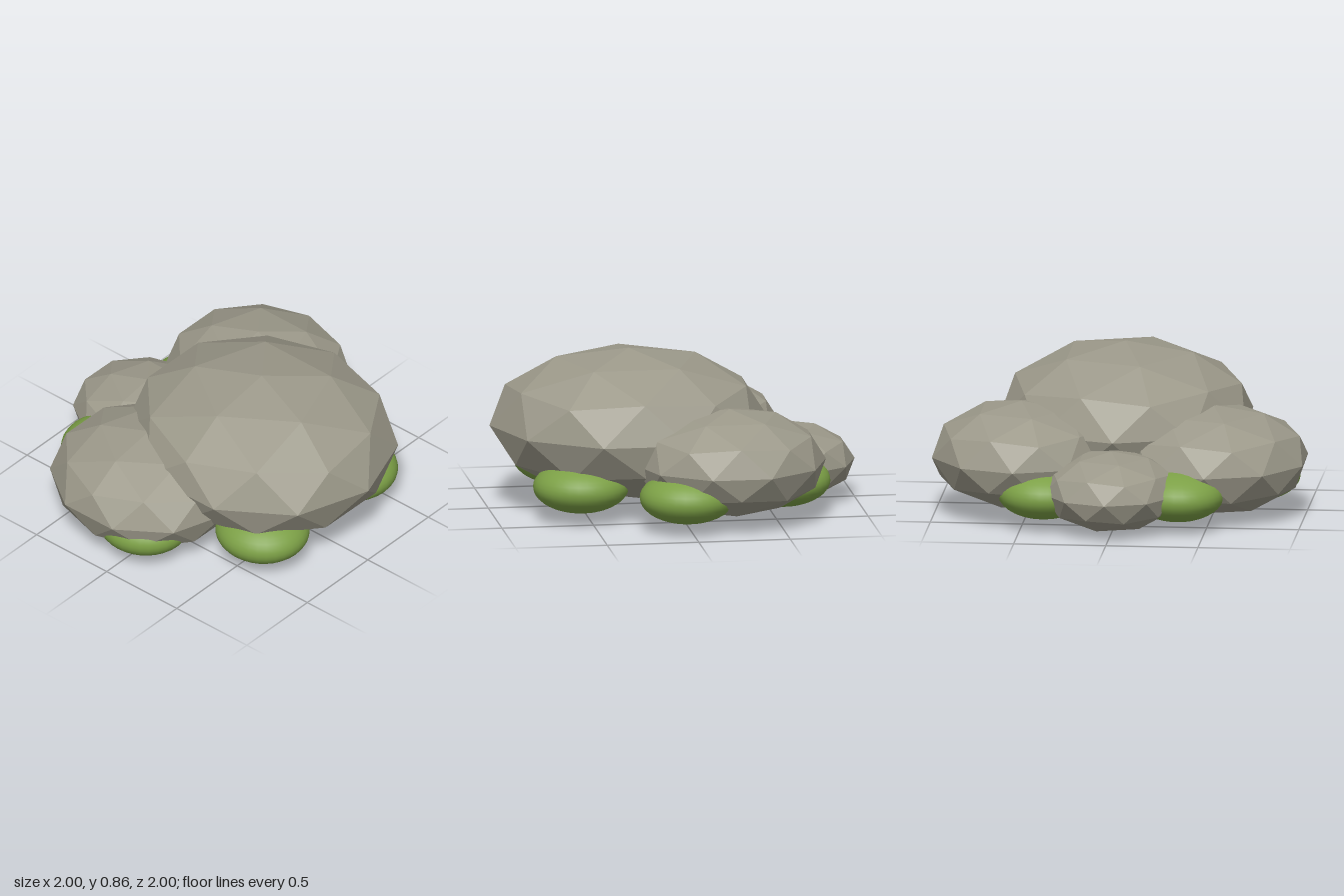
import * as THREE from 'three';

export function createModel() {
  const model = new THREE.Group();
  model.name = 'mossyRocks';

  const stone = new THREE.MeshStandardMaterial({ color: 0x9c998a });
  stone.name = 'greyStone';
  stone.flatShading = true;
  const moss = new THREE.MeshStandardMaterial({ color: 0x7ca046 });
  moss.name = 'mossGreen';

  // Faceted boulder, turned so that one corner points straight up
  const boulder = new THREE.IcosahedronGeometry(1, 1);
  boulder.rotateZ(Math.atan2(1, (1 + Math.sqrt(5)) / 2));
  const cushion = new THREE.SphereGeometry(1, 32, 20);

  function add(name, shape, material, centre, radii) {
    // Scale baked into the geometry
    const geometry = shape.clone().scale(...radii);
    const mesh = new THREE.Mesh(geometry, material);
    mesh.name = name;
    mesh.position.set(...centre);
    model.add(mesh);
  }

  // Boulders
  add('mainRock', boulder, stone, [0.01, 0.465, 0.235], [0.705, 0.405, 0.76]);
  add('leftRock', boulder, stone, [0.53, 0.34, -0.24], [0.495, 0.29, 0.525]);
  add('rightRock', boulder, stone, [-0.5, 0.31, -0.13], [0.525, 0.295, 0.545]);
  add('backRock', boulder, stone, [0.01, 0.22, -0.58], [0.38, 0.215, 0.42]);

  // Moss cushions in a ring around the foot
  const places = [
    ['frontLeftMoss', 0.38, 0.55], ['leftMoss', 0.73, 0.02], ['backLeftMoss', 0.38, -0.55],
    ['backRightMoss', -0.35, -0.55], ['rightMoss', -0.71, 0.02], ['frontRightMoss', -0.35, 0.55],
  ];
  for (const [name, x, z] of places) {
    add(name, cushion, moss, [x, 0.195, z], [0.25, 0.14, 0.26]);
  }

  return model;
}
